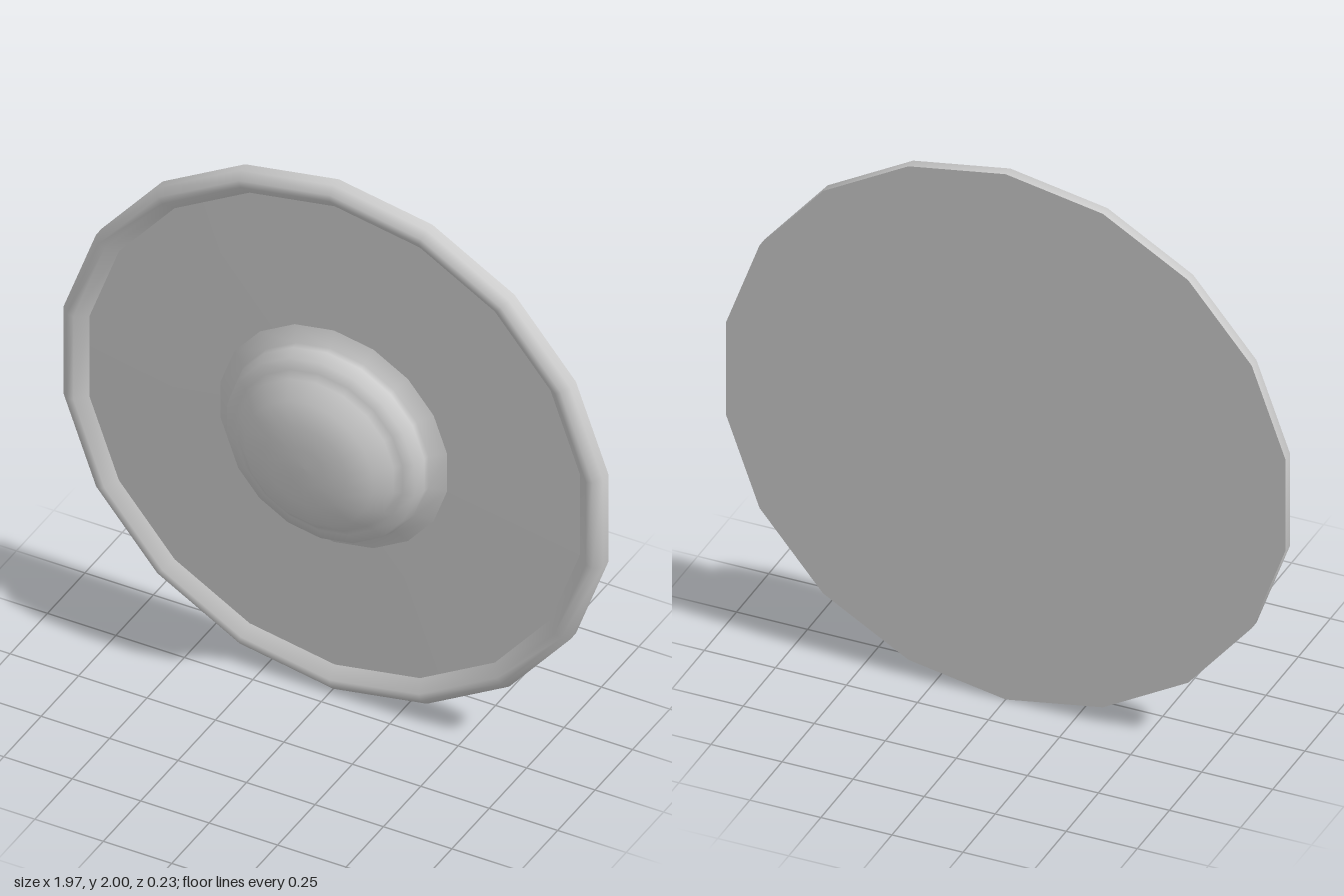
import * as THREE from 'three';

const SIDES = 18;

// Turned part: each profile point is [radius, z], listed from back to front
function turned(name, profile, material) {
  const points = profile.map(([r, z]) => new THREE.Vector2(r, z));
  const geometry = new THREE.LatheGeometry(points, SIDES);
  geometry.rotateX(Math.PI / 2); // turning axis faces +z
  geometry.translate(0, 1, 0);
  const mesh = new THREE.Mesh(geometry, material);
  mesh.name = name;
  return mesh;
}

export function createModel() {
  const group = new THREE.Group();
  group.name = 'roundShield';
  const material = new THREE.MeshStandardMaterial({ color: 0xcccccc });

  // Flat back
  group.add(turned('backPlate', [[0, -0.117], [1, -0.117]], material));

  // Raised rim with rounded outer and inner edges
  group.add(turned('rim', [
    [1, -0.117], [1, -0.08], [0.975, -0.056], [0.95, -0.056], [0.91, -0.09],
  ], material));

  // Recessed face
  group.add(turned('face', [[0.91, -0.09], [0.42, -0.085]], material));

  // Central boss: collar, small ledge and dome
  group.add(turned('boss', [
    [0.42, -0.085], [0.365, -0.06], [0.36, -0.04], [0.347, 0.005], [0.31, 0.015],
    [0.285, 0.032], [0.235, 0.083], [0.15, 0.108], [0.07, 0.116], [0, 0.117],
  ], material));

  return group;
}
